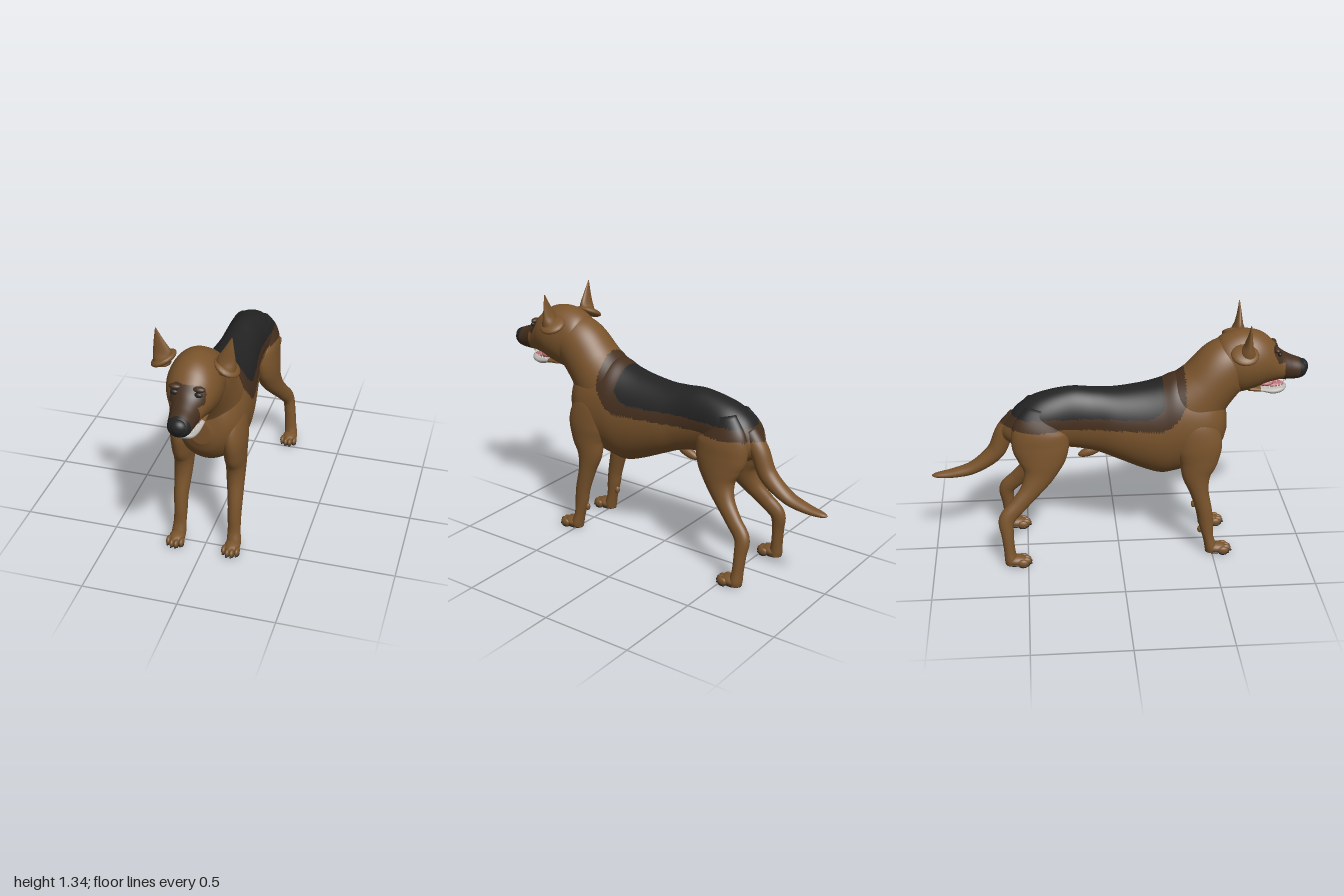
import * as THREE from 'three';

const mat = (name, hex, side = THREE.FrontSide) => {
  const m = new THREE.MeshStandardMaterial({ color: hex, side });
  m.name = name;
  return m;
};

// Skin over elliptical stations [x, y, z, halfWidth, halfHeight].
// Rings follow the path in the YZ plane, or stay vertical when upright is true.
function loft(stations, rows, cols, upright = false) {
  const path = new THREE.CatmullRomCurve3(stations.map(s => new THREE.Vector3(s[0], s[1], s[2])), false, 'catmullrom', 0.5);
  const size = new THREE.CatmullRomCurve3(stations.map(s => new THREE.Vector3(s[3], s[4], 0)), false, 'catmullrom', 0.5);
  const pos = [], idx = [];
  for (let i = 0; i <= rows; i++) {
    const t = i / rows, c = path.getPoint(t), s = size.getPoint(t);
    const d = path.getPoint(Math.min(1, t + 0.01)).sub(path.getPoint(Math.max(0, t - 0.01)));
    d.x = 0;
    if (upright) d.y = 0;
    d.normalize();
    for (let j = 0; j < cols; j++) {
      const a = j / cols * Math.PI * 2;
      const u = Math.cos(a) * Math.max(s.x, 0.001), v = Math.sin(a) * Math.max(s.y, 0.001);
      pos.push(c.x + u, c.y + d.z * v, c.z - d.y * v);
    }
  }
  const at = (i, j) => i * cols + j % cols;
  for (let i = 0; i < rows; i++)
    for (let j = 0; j < cols; j++)
      idx.push(at(i, j), at(i, j + 1), at(i + 1, j + 1), at(i, j), at(i + 1, j + 1), at(i + 1, j));
  // rounded-off end caps
  const first = path.getPoint(0), last = path.getPoint(1), n = pos.length / 3;
  pos.push(...first.toArray(), ...last.toArray());
  for (let j = 0; j < cols; j++)
    idx.push(n, at(0, j + 1), at(0, j), n + 1, at(rows, j), at(rows, j + 1));
  const g = new THREE.BufferGeometry();
  g.setAttribute('position', new THREE.Float32BufferAttribute(pos, 3));
  g.setIndex(idx);
  g.computeVertexNormals();
  return g;
}

// Sort faces into material groups by a rule on the face centre.
function paint(g, rule, count) {
  const p = g.attributes.position, src = g.index.array;
  const bins = Array.from({ length: count }, () => []);
  for (let k = 0; k < src.length; k += 3) {
    const f = [src[k], src[k + 1], src[k + 2]];
    const mid = fn => (fn.call(p, f[0]) + fn.call(p, f[1]) + fn.call(p, f[2])) / 3;
    bins[rule(mid(p.getX), mid(p.getY), mid(p.getZ))].push(...f);
  }
  g.setIndex(bins.flat());
  let start = 0;
  bins.forEach((b, i) => { g.addGroup(start, b.length, i); start += b.length; });
  return g;
}

// Saddle marking on the back: 0 coat, 1 brown border, 2 black
function saddle(x, y, z) {
  const curve = (edge, run, rise) => Math.max(0, (z - edge) / run) ** 2 * rise;
  if (z < 0.23 && z > -0.56 && y > 0.815 + curve(0.13, 0.1, 0.06)) return 2;
  if (z < 0.34 && z > -0.63 && y > 0.755 + curve(0.2, 0.14, 0.13)) return 1;
  return 0;
}

// Face mask: 0 coat, 1 dark brown, 2 black
function mask(x, y, z) {
  if (z > 0.95 && y > 0.965) return 2;
  if (z > 0.865 || (z > 0.80 && y > 1.07 && y < 1.155 && Math.abs(x - 0.02) < 0.085)) return 1;
  return 0;
}

export function createModel() {
  const dog = new THREE.Group();
  dog.name = 'dog';
  const coat = mat('tan coat', 0x7a542c);
  const border = mat('dark brown', 0x46301f);
  const black = mat('black', 0x232323);
  const lip = mat('pale lip', 0xb8b4ae);
  const ivory = mat('tooth ivory', 0xe8e4da);
  const pink = mat('tongue pink', 0xbf6d77);
  const coats = [coat, border, black];

  const add = (name, g, m, parent = dog) => {
    const mesh = new THREE.Mesh(g, m);
    mesh.name = name;
    parent.add(mesh);
    return mesh;
  };
  const ball = (name, m, p, r, parent = dog) => {
    const b = add(name, new THREE.SphereGeometry(1, 20, 14), m, parent);
    b.position.set(...p);
    b.scale.set(...r);
    return b;
  };
  // [z, top, bottom, halfWidth, x] to a station
  const span = ([z, top, bottom, w, x = 0]) => [x, (top + bottom) / 2, z, w, (top - bottom) / 2];

  // Torso, neck and tail carry the saddle
  const torso = [
    [0.57, 0.79, 0.67, 0.05], [0.54, 0.9, 0.6, 0.12], [0.48, 0.96, 0.53, 0.165], [0.4, 0.99, 0.485, 0.183],
    [0.3, 1.01, 0.455, 0.185], [0.22, 0.98, 0.445, 0.18], [0.12, 0.955, 0.477, 0.168], [-0.02, 0.938, 0.54, 0.145],
    [-0.13, 0.942, 0.585, 0.122], [-0.26, 0.95, 0.61, 0.115], [-0.42, 0.915, 0.62, 0.125],
    [-0.52, 0.86, 0.62, 0.1], [-0.58, 0.79, 0.65, 0.065], [-0.62, 0.735, 0.68, 0.02]].map(span);
  add('torso', paint(loft(torso, 150, 96, true), saddle, 3), coats);
  const neck = [[0, 0.72, 0.26, 0.165, 0.24], [0, 0.82, 0.36, 0.165, 0.208], [0, 0.93, 0.455, 0.152, 0.16],
    [0.005, 1.04, 0.555, 0.138, 0.152], [0.015, 1.08, 0.65, 0.115, 0.13]];
  add('neck', paint(loft(neck, 60, 64), saddle, 3), coats);
  const tail = [[0.015, 0.78, -0.53, 0.05, 0.055], [0.02, 0.7, -0.6, 0.05, 0.05], [0.02, 0.58, -0.655, 0.047, 0.048],
    [0.02, 0.49, -0.77, 0.043, 0.034], [0.02, 0.457, -0.88, 0.035, 0.024], [0.02, 0.447, -0.97, 0.022, 0.014],
    [0.02, 0.446, -1, 0.004, 0.003]];
  add('tail', paint(loft(tail, 70, 32), saddle, 3), coats);
  ball('sheath', coat, [0, 0.572, -0.15], [0.024, 0.026, 0.07]).rotation.x = -0.35;

  // Head with its mask
  const head = new THREE.Group();
  head.name = 'head';
  dog.add(head);
  const skull = [
    [0.5, 1.16, 1.0, 0.07, 0.01], [0.54, 1.208, 0.94, 0.115, 0.01], [0.62, 1.238, 0.9, 0.132, 0.01],
    [0.7, 1.235, 0.915, 0.132, 0.012], [0.76, 1.21, 0.938, 0.118, 0.015], [0.81, 1.165, 0.95, 0.095, 0.018],
    [0.85, 1.118, 0.955, 0.077, 0.02], [0.9, 1.088, 0.955, 0.066, 0.02], [0.95, 1.068, 0.958, 0.057, 0.02],
    [0.98, 1.05, 0.975, 0.044, 0.02], [0.994, 1.03, 1.0, 0.018, 0.02]].map(span);
  add('skull', paint(loft(skull, 110, 72, true), mask, 3), coats, head);
  ball('nose', black, [0.022, 1.02, 0.966], [0.043, 0.04, 0.034], head);
  const jaw = [[0.68, 0.95, 0.905, 0.07, 0.01], [0.75, 0.935, 0.9, 0.066, 0.012], [0.81, 0.927, 0.881, 0.058, 0.012],
    [0.86, 0.928, 0.888, 0.045, 0.012], [0.885, 0.925, 0.908, 0.018, 0.012]].map(span);
  add('lowerJaw', paint(loft(jaw, 40, 32, true), (x, y, z) => (z > 0.745 ? 1 : 0), 2), [coat, lip], head);
  ball('tongue', pink, [0.014, 0.93, 0.81], [0.036, 0.014, 0.065], head);
  ball('mouthLining', pink, [0.014, 0.945, 0.77], [0.055, 0.02, 0.05], head);
  for (let i = 0; i < 13; i++) {
    const a = (i / 12 - 0.5) * Math.PI;
    for (const up of [1, -1]) {
      const tooth = add(up > 0 ? 'lowerTooth' : 'upperTooth', new THREE.ConeGeometry(0.005, 0.018, 6), ivory, head);
      tooth.position.set(0.014 + Math.sin(a) * 0.05, up > 0 ? 0.932 : 0.952, 0.765 + Math.cos(a) * (up > 0 ? 0.1 : 0.12));
      if (up < 0) tooth.rotation.x = Math.PI;
    }
  }

  // Paired parts: s = +1 is the left side
  const foot = (name, x, z, s) => {
    const g = new THREE.Group();
    g.name = name;
    g.position.set(s * x, 0, z);
    dog.add(g);
    ball('paw', coat, [0, 0.032, 0.0], [0.041, 0.028, 0.06], g);
    ball('pad', black, [0, 0.012, -0.005], [0.036, 0.012, 0.055], g);
    for (let i = 0; i < 4; i++) {
      const dx = (i - 1.5) * 0.023, dz = i % 3 ? 0.052 : 0.036;
      ball('toe', coat, [dx, 0.027, dz], [0.014, 0.022, 0.029], g);
      ball('toePad', black, [dx, 0.009, dz], [0.012, 0.009, 0.022], g);
      ball('claw', black, [dx, 0.016, dz + 0.025], [0.005, 0.007, 0.009], g);
    }
  };
  for (const s of [1, -1]) {
    const side = s > 0 ? 'left' : 'right';
    const flip = list => list.map(([x, ...rest]) => [s * x, ...rest]);
    const fore = [[0.1, 0.85, 0.36, 0.04, 0.07], [0.122, 0.77, 0.38, 0.06, 0.11], [0.134, 0.66, 0.41, 0.063, 0.125],
      [0.137, 0.57, 0.415, 0.058, 0.105], [0.138, 0.48, 0.405, 0.052, 0.078], [0.14, 0.38, 0.422, 0.046, 0.051],
      [0.145, 0.26, 0.452, 0.038, 0.042], [0.145, 0.18, 0.464, 0.035, 0.039], [0.147, 0.1, 0.477, 0.034, 0.029],
      [0.15, 0.04, 0.492, 0.038, 0.032], [0.15, 0.012, 0.494, 0.034, 0.03]];
    add(side + 'ForeLeg', loft(flip(fore), 80, 36), coat);
    ball(side + 'Dewclaw', coat, [s * 0.135, 0.14, 0.435], [0.014, 0.022, 0.016]);
    foot(side + 'ForePaw', 0.15, 0.522, s);

    const hind = [[0.06, 0.86, -0.4, 0.04, 0.08], [0.08, 0.75, -0.42, 0.066, 0.14], [0.088, 0.66, -0.415, 0.068, 0.15],
      [0.095, 0.58, -0.415, 0.066, 0.128], [0.106, 0.5, -0.43, 0.058, 0.085], [0.13, 0.42, -0.475, 0.045, 0.055],
      [0.155, 0.345, -0.54, 0.036, 0.045], [0.175, 0.27, -0.605, 0.033, 0.043], [0.188, 0.18, -0.605, 0.032, 0.033],
      [0.195, 0.09, -0.598, 0.034, 0.03], [0.2, 0.04, -0.592, 0.037, 0.034], [0.2, 0.012, -0.59, 0.034, 0.032]];
    add(side + 'HindLeg', paint(loft(flip(hind), 100, 44), saddle, 3), coats);
    foot(side + 'HindPaw', 0.2, -0.564, s);

    // Upright pointed ear over a folded outer flap
    const ear = [[0.158, 1.15, 0.645, 0.042, 0.045], [0.156, 1.185, 0.645, 0.046, 0.036], [0.156, 1.22, 0.647, 0.044, 0.022],
      [0.17, 1.275, 0.65, 0.024, 0.011], [0.184, 1.335, 0.65, 0.002, 0.002]];
    add(side + 'Ear', loft(flip(ear), 30, 24), coat, head);
    ball(side + 'EarFlap', coat, [s * 0.155, 1.167, 0.63], [0.068, 0.024, 0.072], head).rotation.z = -s * 0.5;
    ball(side + 'Eye', black, [0.018 + s * 0.058, 1.118, 0.832], [0.02, 0.013, 0.012], head);
    ball(side + 'Brow', border, [0.018 + s * 0.058, 1.14, 0.818], [0.03, 0.014, 0.018], head);
  }
  return dog;
}
